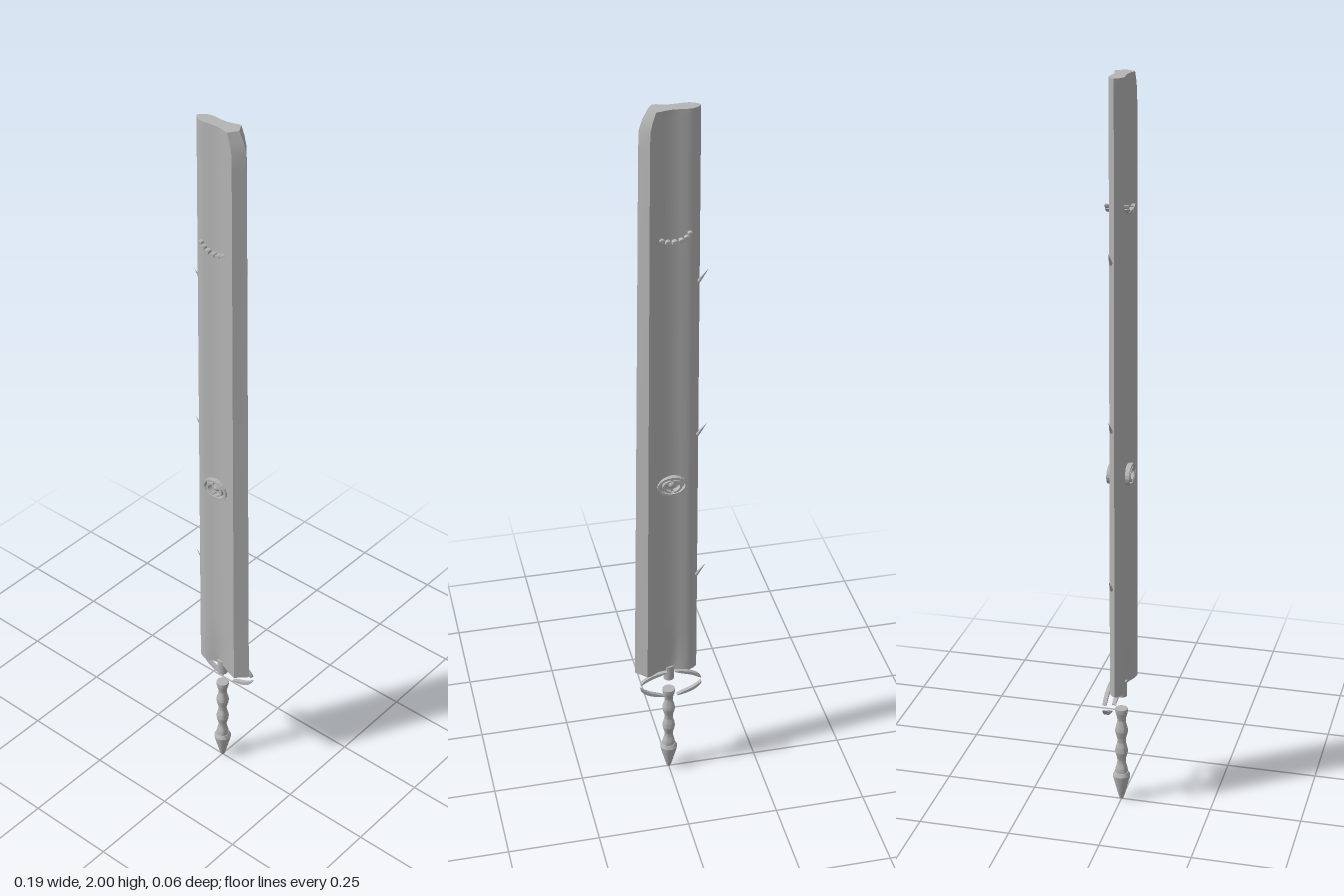
import * as THREE from 'three';
import { toCreasedNormals } from 'three/addons/utils/BufferGeometryUtils.js';

const steel = new THREE.MeshStandardMaterial({ color: 0xb4b4b4 });
steel.name = 'steel grey';

function add(parent, name, geometry, x = 0, y = 0, z = 0) {
  const mesh = new THREE.Mesh(geometry, steel);
  mesh.name = name;
  mesh.position.set(x, y, z);
  parent.add(mesh);
  return mesh;
}

// Flat elliptical arc with tapered ends, centred on z = 0
function arcPlate(rx, ry, width, from, to, depth, taper = 0) {
  const outer = [], inner = [], n = 20;
  for (let i = 0; i <= n; i++) {
    const t = i / n, a = from + (to - from) * t;
    const w = width * (1 - taper * Math.pow(Math.abs(2 * t - 1), 3));
    outer.push(new THREE.Vector2(Math.cos(a) * rx, Math.sin(a) * ry));
    inner.push(new THREE.Vector2(Math.cos(a) * (rx - w), Math.sin(a) * (ry - w)));
  }
  const shape = new THREE.Shape([...outer, ...inner.reverse()]);
  return new THREE.ExtrudeGeometry(shape, { depth, bevelEnabled: false }).translate(0, 0, -depth / 2);
}

// Blade lofted from hollow-ground sections: [height, right edge, waist half thickness]
function bladeGeometry() {
  const levels = [
    [0.352, 0.095, 0.007], [0.39, 0.0945, 0.009], [0.43, 0.094, 0.012],
    [0.48, 0.0932, 0.015], [0.54, 0.0925, 0.0165], [1.2, 0.083, 0.0165],
    [1.9, 0.073, 0.0165], [1.95, 0.071, 0.0165], [1.975, 0.063, 0.0165], [2, 0.05, 0.0165],
  ];
  const pos = [], index = [];
  let size = 0, n = 0;
  for (const [y, edge, waist] of levels) {
    const bulge = edge * 0.69, thick = 0.021 + edge * 0.085;
    const half = [
      [-0.078, 0], [-0.075, 0.006], [-0.067, 0.013], [-0.055, 0.0185], [-0.043, 0.0195],
      [-0.025, (0.018 + waist) / 2], [-0.005, waist], [bulge * 0.3, waist + (thick - waist) * 0.3],
      [bulge * 0.7, waist + (thick - waist) * 0.8], [bulge, thick], [edge, 0],
    ];
    n = half.length - 1;
    const back = half.slice(1, n).reverse().map(([x, z]) => [x, -z]);
    const loop = [...half, ...back];
    size = loop.length;
    for (const [x, z] of loop) pos.push(x, y, z);
  }
  for (let l = 0; l < levels.length - 1; l++) {
    for (let i = 0; i < size; i++) {
      const a = l * size + i, b = l * size + (i + 1) % size;
      index.push(a, b, b + size, a, b + size, a + size);
    }
  }
  // Cap both ends between the front and back halves
  const top = (levels.length - 1) * size;
  for (let k = 0; k < n; k++) {
    const f0 = k, f1 = k + 1, b0 = (size - k) % size, b1 = size - k - 1;
    index.push(top + f0, top + f1, top + b1, top + f0, top + b1, top + b0);
    index.push(f0, b1, f1, f0, b0, b1);
  }
  const g = new THREE.BufferGeometry();
  g.setAttribute('position', new THREE.Float32BufferAttribute(pos, 3));
  g.setIndex(index);
  return toCreasedNormals(g, 0.5);
}

export function createModel() {
  const sword = new THREE.Group();
  sword.name = 'sword';
  add(sword, 'blade', bladeGeometry());

  // Raised ornaments on both faces
  for (const side of [1, -1]) {
    const ornaments = new THREE.Group();
    ornaments.name = side > 0 ? 'frontOrnaments' : 'backOrnaments';
    ornaments.position.z = side * 0.022;
    sword.add(ornaments);
    add(ornaments, 'outerRing', arcPlate(0.04, 0.028, 0.006, 0, Math.PI * 2, 0.016), -0.004, 0.966);
    for (const start of [0.15, Math.PI + 0.15]) {
      add(ornaments, 'innerArc', arcPlate(0.026, 0.019, 0.006, start + Math.PI / 2, start + Math.PI * 1.4, 0.017, 0.4), -0.004, 0.966);
    }
    const core = new THREE.SphereGeometry(0.009, 16, 10).scale(1, 1, 0.8);
    add(ornaments, 'ringCore', core, -0.004, 0.966, -side * 0.004);
    // Broken crescent of small links
    for (let i = 0; i < 6; i++) {
      const from = Math.PI + 0.05 + i * 0.42;
      add(ornaments, 'crescentLink', arcPlate(0.045, 0.03, 0.009, from, from + 0.34, 0.016, 0.35), -0.007, 1.689);
    }
  }

  // Small barbs along the spine
  for (const y of [1.56, 1.12, 0.68]) {
    const barb = add(sword, 'spineBarb', new THREE.ConeGeometry(0.005, 0.042, 8), -0.086, y, -0.009);
    barb.rotation.z = 0.68;
  }

  // Broken guard ring behind the hilt
  for (const from of [0.2, Math.PI / 2 + 0.12, Math.PI + 0.12, Math.PI * 1.5 + 0.2]) {
    add(sword, 'guardArc', arcPlate(0.087, 0.043, 0.009, from, from + 1.25, 0.011, 0.8), 0, 0.319, -0.026);
  }

  // Hilt: short stub, open gap, rippled grip and spear-shaped pommel
  add(sword, 'bladeStub', new THREE.CylinderGeometry(0.015, 0.015, 0.045, 20), 0, 0.342);

  const grip = [new THREE.Vector2(0, 0.08)];
  for (let i = 0; i <= 40; i++) {
    const y = 0.08 + i * 0.005;
    grip.push(new THREE.Vector2(0.0145 + 0.003 * Math.cos((y - 0.275) * Math.PI * 2 / 0.062), y));
  }
  grip.push(new THREE.Vector2(0, 0.28));
  add(sword, 'grip', toCreasedNormals(new THREE.LatheGeometry(grip, 24), 0.7));

  const pommel = [[0, 0], [0.005, 0.002], [0.01, 0.018], [0.023, 0.068], [0.024, 0.076], [0.019, 0.086], [0, 0.088]]
    .map(([r, y]) => new THREE.Vector2(r, y));
  add(sword, 'pommel', toCreasedNormals(new THREE.LatheGeometry(pommel, 24), 0.5));

  return sword;
}
